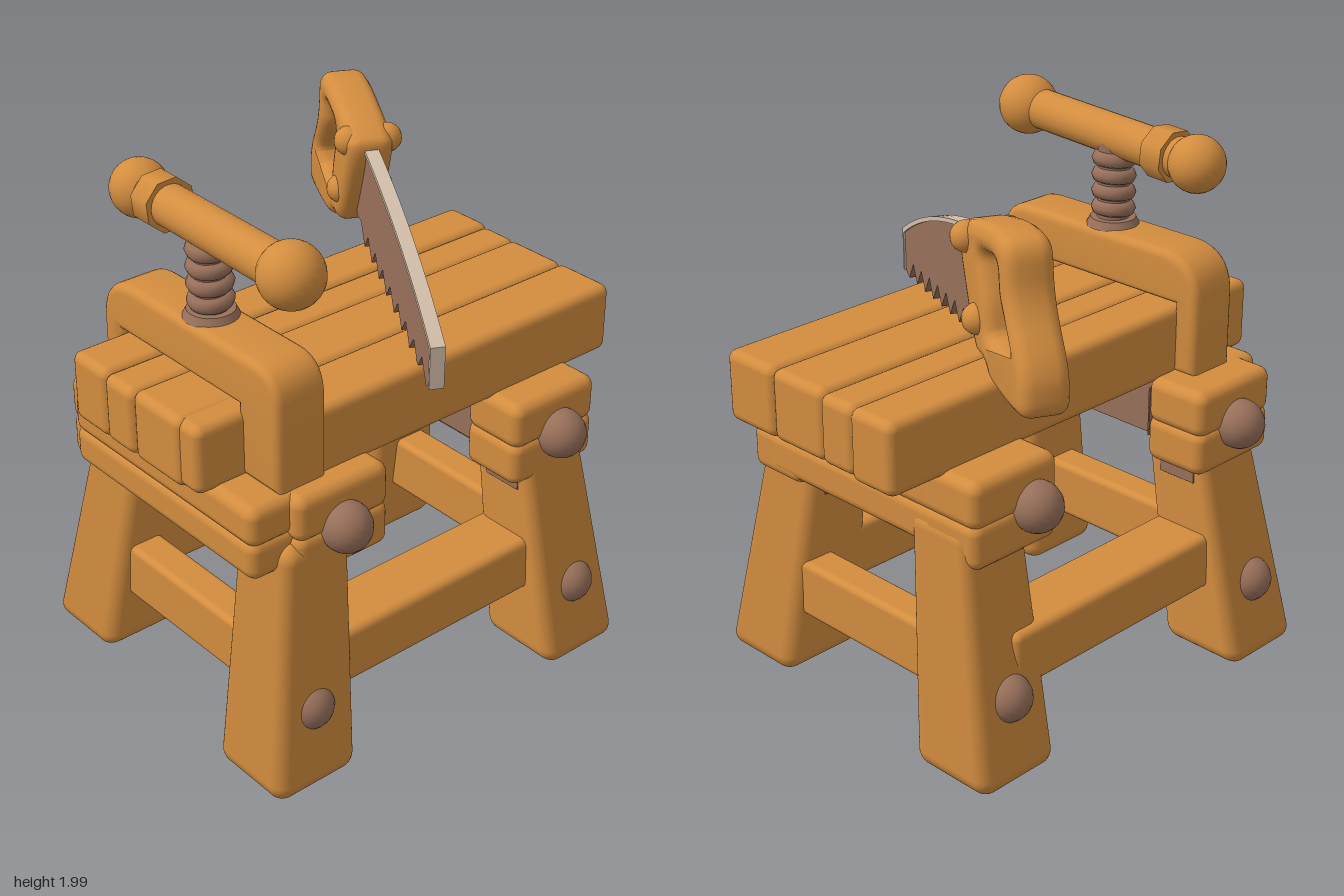
import * as THREE from 'three';
import { RoundedBoxGeometry } from 'three/addons/geometries/RoundedBoxGeometry.js';
import { toCreasedNormals } from 'three/addons/utils/BufferGeometryUtils.js';

export function createModel() {
  const model = new THREE.Group();
  model.name = 'workbench';
  const material = (name, color) => Object.assign(new THREE.MeshStandardMaterial({ color }), { name });
  const wood = material('wood', 0xd38d3f);
  const iron = material('brown iron', 0x98705a);
  const steel = material('bare steel edge', 0xd2bea9);

  const add = (parent, name, geometry, mat, x = 0, y = 0, z = 0) => {
    const mesh = new THREE.Mesh(geometry, mat);
    mesh.name = name;
    mesh.position.set(x, y, z);
    parent.add(mesh);
    return mesh;
  };
  // Rounded block given by its limits on each axis
  const block = (parent, name, [x0, x1], [y0, y1], [z0, z1], r = 0.035, mat = wood) =>
    add(parent, name, new RoundedBoxGeometry(x1 - x0, y1 - y0, z1 - z0, 3, r), mat,
      (x0 + x1) / 2, (y0 + y1) / 2, (z0 + z1) / 2);
  // Two stacked timbers with a groove between them
  const pair = (parent, name, xs, [y0, y1], zs) => {
    const mid = (y0 + y1) / 2;
    block(parent, name + 'Lower', xs, [y0, mid + 0.012], zs, 0.042);
    block(parent, name + 'Upper', xs, [mid - 0.012, y1], zs, 0.042);
  };
  const bolt = (parent, name, x, y, z, r = 0.092) =>
    add(parent, name, new THREE.SphereGeometry(r, 20, 14), iron, x, y, z);

  // The bench stands turned on the ground
  const bench = new THREE.Group();
  bench.name = 'bench';
  bench.rotation.y = -0.245;
  model.add(bench);

  // Top planks: start, end, back edge, front edge
  [[-0.865, 0.92, -0.385, -0.18], [-0.87, 0.91, -0.19, -0.022],
    [-0.865, 0.9, -0.032, 0.234], [-0.855, -0.6, 0.14, 0.315], [-0.6, 0.9, 0.224, 0.472],
  ].forEach(([x0, x1, z0, z1], i) =>
    block(bench, 'topPlank' + (i + 1), [x0, x1], [1.085 + (i % 2) * 0.005, 1.35 - (i % 2) * 0.005], [z0, z1]));

  // Cross beams under the top, with dark plates on their inner faces
  pair(bench, 'rightBeam', [0.38, 0.7], [0.8, 1.09], [-0.48, 0.52]);
  pair(bench, 'leftBeam', [-0.8, -0.42], [0.83, 1.11], [-0.5, 0.52]);
  block(bench, 'rightBeamPlate', [0.374, 0.382], [0.83, 1.07], [-0.26, 0.33], 0.003, iron);
  block(bench, 'leftBeamPlate', [-0.422, -0.414], [0.85, 1.08], [-0.33, 0.3], 0.003, iron);
  block(bench, 'backLeftCapPlate', [-0.41, -0.36], [0.87, 1.06], [-0.357, -0.349], 0.003, iron);

  // Tapered, splayed legs
  const legHeight = 0.92, legWidth = 0.36, taper = 0.24;
  const makeLeg = (footX, footZ, topX, topZ) => {
    const g = new RoundedBoxGeometry(legWidth, legHeight, legWidth, 4, 0.06);
    const p = g.attributes.position;
    for (let i = 0; i < p.count; i++) {
      const t = p.getY(i) / legHeight + 0.5;
      const s = 1 - taper * t;
      p.setXYZ(i, p.getX(i) * s + footX + (topX - footX) * t, t * legHeight + 0.01,
        p.getZ(i) * s + footZ + (topZ - footZ) * t);
    }
    return g;
  };
  // Foot x and z, top x and z, cap x, cap face, cap bolt x
  [['frontRight', 0.585, 0.575, 0.505, 0.46, 0.5, 0.615, 0.51],
    ['frontLeft', -0.665, 0.515, -0.55, 0.425, -0.445, 0.57, -0.455],
    ['backLeft', -0.61, -0.58, -0.525, -0.44, -0.54, 0.615, -0.54],
    ['backRight', 0.63, -0.51, 0.565, -0.355, 0.505, 0.54, 0.43],
  ].forEach(([name, fx, fz, tx, tz, capX, capFace, boltX]) => {
    const side = Math.sign(fz), hand = Math.sign(fx);
    const zs = [side * (capFace - 0.26), side * capFace].sort((a, b) => a - b);
    add(bench, name + 'Leg', makeLeg(fx, fz, tx, tz), wood);
    pair(bench, name + 'Cap', [capX - 0.198, capX + 0.198], [0.785, 1.11], zs);
    bolt(bench, name + 'CapBolt', boltX, 0.95, side * (capFace + 0.015));
    bolt(bench, name + 'LegBolt', fx + (tx - fx) * 0.25, 0.31, fz + side * 0.09, 0.087);
    // Dark bands high on the inner faces
    const t = 0.81, half = legWidth / 2 * (1 - taper * t);
    const x = fx + (tx - fx) * t, z = fz + (tz - fz) * t;
    const bandX = x - hand * half, bandZ = z - side * half;
    block(bench, name + 'SideBand', [bandX - 0.004, bandX + 0.004], [0.73, 0.79], [z - 0.08, z + 0.08], 0.003, iron);
    block(bench, name + 'InnerBand', [x - 0.08, x + 0.08], [0.73, 0.79], [bandZ - 0.004, bandZ + 0.004], 0.003, iron);
  });

  // Stretchers between the legs
  for (const s of [-1, 1]) {
    const zs = [s * 0.36, s * 0.61].sort((a, b) => a - b);
    block(bench, s > 0 ? 'frontStretcher' : 'backStretcher', [-0.58, 0.58], [0.31, 0.53], zs, 0.03);
    block(bench, s > 0 ? 'rightStretcher' : 'leftStretcher', [s * 0.62 - 0.07, s * 0.62 + 0.07], [0.25, 0.475], [-0.5, 0.5], 0.025);
  }

  // Arched vise jaw straddling the planks
  const arch = new THREE.Shape();
  arch.moveTo(-0.475, 1.1);
  arch.lineTo(-0.475, 1.4);
  arch.quadraticCurveTo(-0.46, 1.54, -0.32, 1.55);
  arch.lineTo(0.36, 1.55);
  arch.quadraticCurveTo(0.48, 1.55, 0.49, 1.43);
  arch.lineTo(0.49, 1.1);
  arch.lineTo(0.28, 1.1);
  arch.lineTo(0.28, 1.36);
  arch.lineTo(-0.37, 1.36);
  arch.lineTo(-0.37, 1.1);
  const bevel = (depth, b) => ({ depth: depth - 2 * b, bevelSize: b, bevelThickness: b, bevelOffset: -b, bevelSegments: 4, curveSegments: 8 });
  const jawGeometry = new THREE.ExtrudeGeometry(arch, bevel(0.21, 0.03));
  jawGeometry.rotateY(-Math.PI / 2);
  add(bench, 'viseJaw', toCreasedNormals(jawGeometry, 0.7), wood, -0.485, 0, 0);

  // Vise screw with its thread
  const screw = new THREE.Group();
  screw.name = 'viseScrew';
  screw.position.set(-0.545, 0, -0.12);
  model.add(screw);
  add(screw, 'screwCore', new THREE.CylinderGeometry(0.06, 0.06, 0.32, 20), iron, 0, 1.7, 0);
  add(screw, 'screwFlange', new THREE.CylinderGeometry(0.085, 0.1, 0.03, 24), iron, 0, 1.56, 0);
  for (let i = 0; i < 4; i++) {
    const thread = add(screw, 'thread', new THREE.TorusGeometry(0.053, 0.03, 8, 24), iron, 0, 1.61 + i * 0.062, 0);
    thread.rotation.set(Math.PI / 2, 0.1, 0);
  }

  // Turning bar with ball ends and a collar
  const front = new THREE.Vector3(-0.7, 1.89, 0.33);
  const back = new THREE.Vector3(-0.44, 1.865, -0.5);
  const along = (name, r, a, b, sides) => {
    const p = front.clone().lerp(back, a), q = front.clone().lerp(back, b);
    const mesh = add(model, name, new THREE.CylinderGeometry(r, r, p.distanceTo(q), sides), wood, ...p.clone().lerp(q, 0.5).toArray());
    mesh.quaternion.setFromUnitVectors(new THREE.Vector3(0, 1, 0), q.sub(p).normalize());
  };
  along('viseBar', 0.075, 0, 1, 24);
  along('barCollar', 0.098, 0.78, 0.89, 8);
  add(model, 'frontBall', new THREE.SphereGeometry(0.112, 24, 16), wood, ...front.toArray());
  add(model, 'backBall', new THREE.SphereGeometry(0.104, 24, 16), wood, ...back.toArray());

  // Saw resting across the top
  const saw = new THREE.Group();
  saw.name = 'saw';
  saw.position.set(0, 0, 0.31);
  saw.rotation.y = 0.85;
  model.add(saw);

  const blade = new THREE.Shape();
  blade.moveTo(0.7, 1.81);
  blade.lineTo(0.55, 1.8);
  blade.quadraticCurveTo(0.04, 1.71, -0.335, 1.49);
  blade.lineTo(-0.33, 1.34);
  const teeth = 9, step = 0.107;
  for (let i = 0; i < teeth; i++) {
    const x = -0.33 + i * step, y = 1.325 + i * 0.0125;
    blade.lineTo(x + 0.05, y);
    blade.lineTo(x + step, y + 0.075);
  }
  blade.lineTo(0.7, 1.5);
  const slab = (shape, depth) =>
    new THREE.ExtrudeGeometry(shape, { depth, bevelEnabled: false, curveSegments: 16 }).translate(0, 0, -depth / 2);
  add(saw, 'sawBlade', slab(blade, 0.04), iron);

  // Bright edge along the back and tip of the blade
  const rim = new THREE.Shape();
  rim.moveTo(0.58, 1.815);
  rim.quadraticCurveTo(0.04, 1.72, -0.345, 1.5);
  rim.lineTo(-0.34, 1.34);
  rim.lineTo(-0.325, 1.34);
  rim.lineTo(-0.33, 1.487);
  rim.quadraticCurveTo(0.04, 1.704, 0.58, 1.799);
  add(saw, 'sawBladeEdge', slab(rim, 0.052), steel);

  // Closed outline with every corner rounded
  const rounded = (target, list, k) => {
    const p = list.map(([x, y]) => new THREE.Vector2(x, y)), n = p.length;
    p.forEach((c, i) => {
      const a = c.clone().lerp(p[(i + n - 1) % n], k), b = c.clone().lerp(p[(i + 1) % n], k);
      if (i) target.lineTo(a.x, a.y); else target.moveTo(a.x, a.y);
      target.quadraticCurveTo(c.x, c.y, b.x, b.y);
    });
    target.closePath();
    return target;
  };
  // The outline runs clockwise and the hole counterclockwise
  const handle = rounded(new THREE.Shape(), [[0.53, 1.83], [0.65, 1.885], [0.9, 1.945], [1.06, 1.94], [1.09, 1.75],
    [1.23, 1.57], [1.24, 1.42], [1.12, 1.4], [0.9, 1.405], [0.84, 1.455], [0.73, 1.45]], 0.4);
  handle.holes.push(rounded(new THREE.Path(), [[0.85, 1.66], [0.87, 1.55], [1.06, 1.54], [1.105, 1.6],
    [0.985, 1.74], [0.97, 1.85], [0.78, 1.82]], 0.3));
  const handleGeometry = new THREE.ExtrudeGeometry(handle, bevel(0.17, 0.045));
  add(saw, 'sawHandle', toCreasedNormals(handleGeometry, 0.8), wood, 0, 0, -0.04);

  // Handle rivets on both faces
  for (const z of [-0.065, 0.077]) {
    for (const [x, y] of [[0.645, 1.82], [0.765, 1.58]]) {
      add(saw, 'handleRivet', new THREE.SphereGeometry(0.054, 16, 12), wood, x, y, z);
    }
  }
  return model;
}
